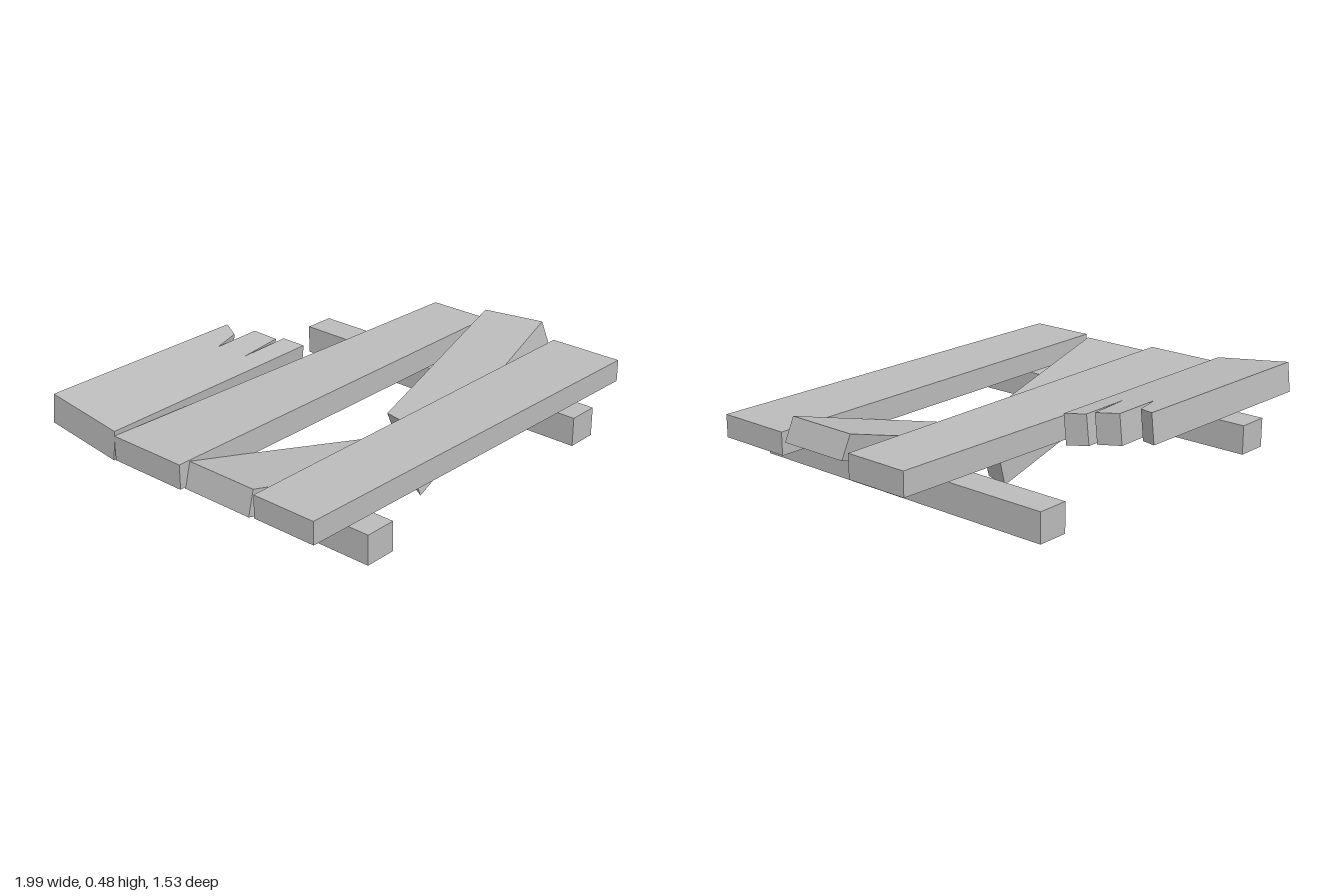
import * as THREE from 'three';

const wood = new THREE.MeshStandardMaterial({ color: 0xbcbcbc });
wood.name = 'greyWood';

// Plank from its top outline [x, z], the height plane of the top face
// (y = a + b*x + c*z) and the offset from the top face to the bottom face.
function plank(name, outline, [a, b, c], [dx, dy, dz]) {
  const shape = new THREE.Shape(outline.map(([x, z]) => new THREE.Vector2(x, z)));
  const geometry = new THREE.ExtrudeGeometry(shape, { depth: 1, bevelEnabled: false });
  const p = geometry.attributes.position;
  for (let i = 0; i < p.count; i++) {
    const x = p.getX(i), z = p.getY(i), t = p.getZ(i);
    p.setXYZ(i, x + t * dx, a + b * x + c * z + t * dy, z + t * dz);
  }
  geometry.computeVertexNormals();
  const mesh = new THREE.Mesh(geometry, wood);
  mesh.name = name;
  return mesh;
}

export function createModel() {
  const group = new THREE.Group();
  group.name = 'brokenPlatform';

  // Two square support beams
  for (const [name, x] of [['rightBeam', -0.692], ['leftBeam', 0.64]]) {
    const beam = new THREE.Mesh(new THREE.BoxGeometry(0.143, 0.131, 1.535), wood);
    beam.position.set(x, 0.211, 0);
    beam.name = name;
    group.add(beam);
  }

  group.add(
    // Whole planks, slightly tapered
    plank('frontPlank',
      [[-0.98, 0.39], [0.975, 0.37], [0.975, 0.715], [-0.98, 0.693]],
      [0.398, 0, 0], [0, -0.1, 0]),
    plank('middlePlank',
      [[-1, -0.368], [0.975, -0.318], [0.975, -0.018], [-1, 0.01]],
      [0.4, 0, 0], [0, -0.108, 0]),

    // Tilted back plank with a splintered end
    plank('backPlank',
      [[-1, -0.365], [0.12, -0.382], [0.097, -0.483], [-0.16, -0.475], [0.065, -0.5],
        [0.045, -0.612], [-0.19, -0.607], [-0.05, -0.645], [-0.01, -0.73], [-1, -0.737]],
      [0.378, 0.006, -0.135], [0, -0.134, -0.015]),

    // Snapped plank: both halves sag towards the gap
    plank('snappedPlankRightHalf',
      [[-0.945, 0.005], [0.075, 0.005], [0.05, 0.122], [-0.165, 0.18], [-0.175, 0.24],
        [-0.15, 0.278], [-0.2, 0.287], [-0.22, 0.345], [-0.945, 0.354]],
      [0.131, -0.279, 0], [-0.028, -0.109, 0]),
    plank('snappedPlankLeftHalf',
      [[0.935, 0.01], [0.962, 0.31], [-0.1, 0.435], [-0.08, 0.395], [-0.03, 0.375],
        [-0.07, 0.35], [-0.05, 0.32], [-0.063, 0.27], [0.145, 0.19], [0.16, 0.075]],
      [0.177, 0.304, 0.02], [0.032, -0.107, 0.018])
  );
  return group;
}
